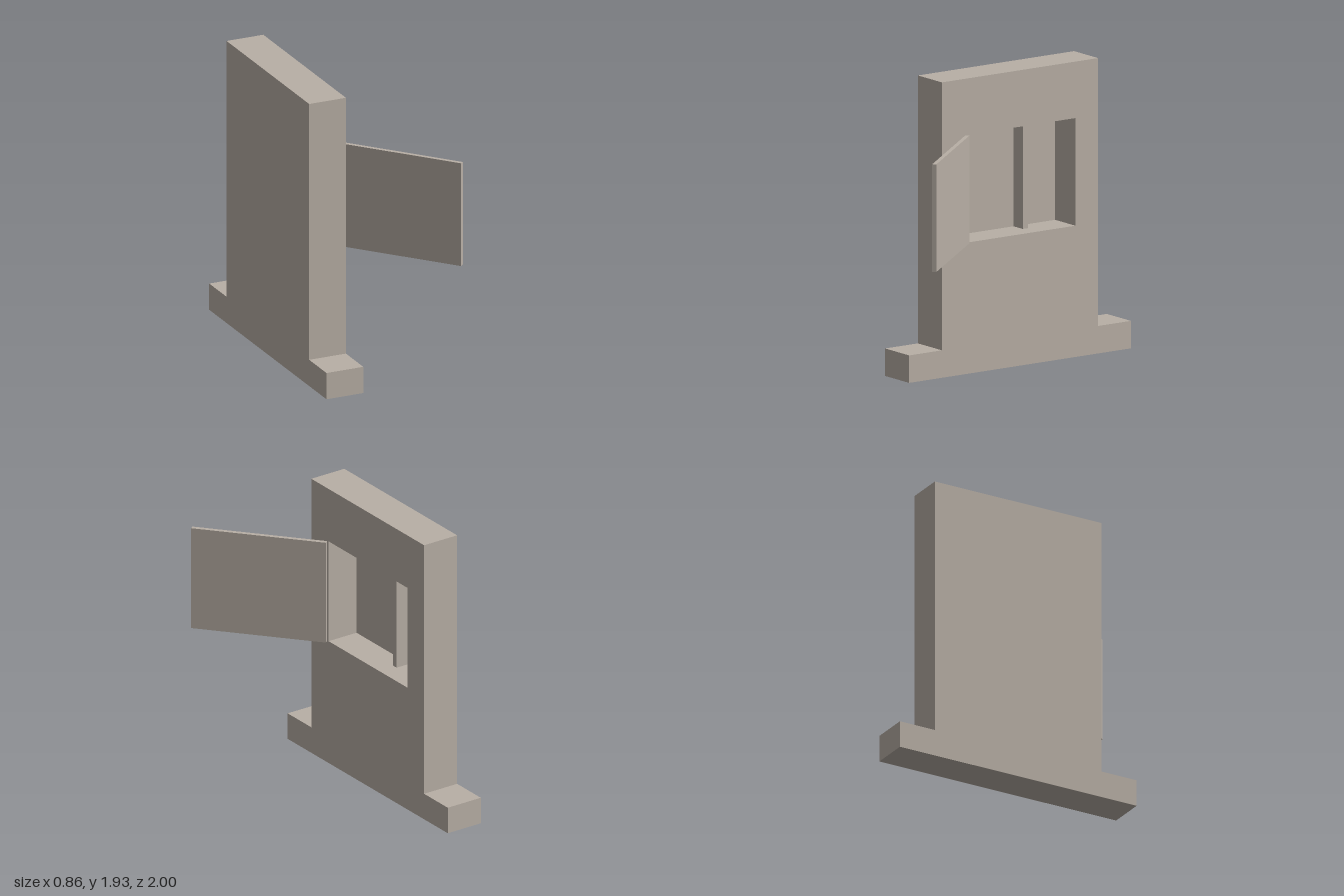
import * as THREE from 'three';

export function createModel() {
  const group = new THREE.Group();
  const stone = new THREE.MeshStandardMaterial({ color: 0xb8afa5 });
  stone.name = 'warm grey';

  const add = (name, geometry, x, y, z) => {
    const mesh = new THREE.Mesh(geometry, stone);
    mesh.name = name;
    mesh.position.set(x, y, z);
    group.add(mesh);
    return mesh;
  };

  // Side outline of the slab with its two feet, drawn as (-z, y)
  const outline = () => new THREE.Shape([
    [-0.76, 0], [1, 0], [1, 0.18], [0.74, 0.18],
    [0.74, 1.935], [-0.5, 1.935], [-0.5, 0.18], [-0.76, 0.18],
  ].map(([u, v]) => new THREE.Vector2(u, v)));

  // Extrudes an outline along +x
  const slab = (shape, depth) =>
    new THREE.ExtrudeGeometry(shape, { depth, bevelEnabled: false }).rotateY(Math.PI / 2);

  // Thin back wall closing the compartment
  add('backWall', slab(outline(), 0.04), -0.43, 0, 0);

  // Thick front slab with the compartment opening
  const framed = outline();
  framed.holes.push(new THREE.Path([
    [-0.31, 0.86], [-0.31, 1.565], [0.56, 1.565], [0.56, 0.86],
  ].map(([u, v]) => new THREE.Vector2(u, v))));
  add('frontSlab', slab(framed, 0.22), -0.39, 0, 0);

  // Upright divider inside the compartment
  add('divider', new THREE.BoxGeometry(0.1, 0.705, 0.04), -0.34, 1.2125, -0.25);

  // Door standing open at the front edge of the compartment
  const door = add('door', new THREE.BoxGeometry(0.027, 0.705, 0.89), 0.1325, 1.2125, 0.6515);
  door.rotation.y = THREE.MathUtils.degToRad(40);

  return group;
}
